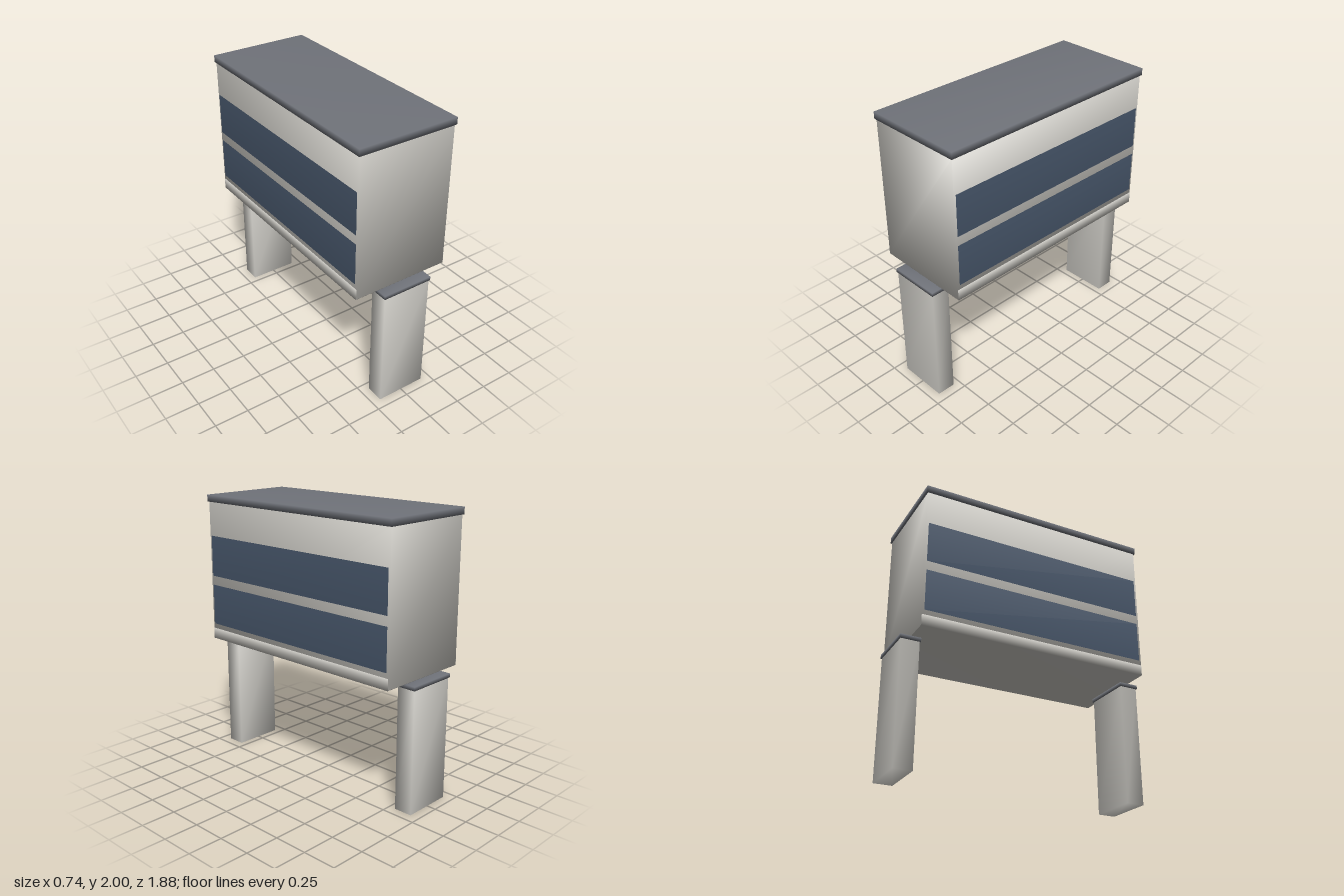
import * as THREE from 'three';
import { mergeVertices } from 'three/addons/utils/BufferGeometryUtils.js';

const paint = (color) => new THREE.MeshStandardMaterial({ color });

// Box given by its centre in x and z and its bottom and top, with normals shared across the edges
function block(name, material, [width, depth], [bottom, top], x = 0, z = 0) {
  const box = new THREE.BoxGeometry(width, top - bottom, depth);
  box.deleteAttribute('normal');
  box.deleteAttribute('uv');
  const geometry = mergeVertices(box);
  geometry.computeVertexNormals();
  const mesh = new THREE.Mesh(geometry, material);
  mesh.name = name;
  mesh.position.set(x, (bottom + top) / 2, z);
  return mesh;
}

export function createModel() {
  const model = new THREE.Group();
  model.name = 'raisedCabin';
  const wall = paint(0xcccac4);
  const trim = paint(0x70737a);
  const glass = paint(0x465569);

  // Cabin with a skirting band and an overhanging roof
  model.add(
    block('cabin', wall, [0.724, 1.724], [0.915, 1.95]),
    block('skirtingBand', wall, [0.73, 1.722], [0.913, 0.993]),
    block('roof', trim, [0.744, 1.742], [1.95, 2]),
  );

  // Two long window strips on each side
  for (const side of [-1, 1]) {
    for (const [bottom, top] of [[1.03, 1.33], [1.4, 1.7]]) {
      model.add(block('windowStrip', glass, [0.02, 1.69], [bottom, top], side * 0.356));
    }
  }

  // One capped pillar under each end
  for (const end of [-1, 1]) {
    const pillar = new THREE.Group();
    pillar.name = end > 0 ? 'frontPillar' : 'backPillar';
    pillar.add(
      block('pillarShaft', wall, [0.366, 0.134], [0, 0.89]),
      block('pillarCap', trim, [0.38, 0.148], [0.885, 0.913]),
    );
    pillar.position.z = end * 0.865;
    model.add(pillar);
  }
  return model;
}
